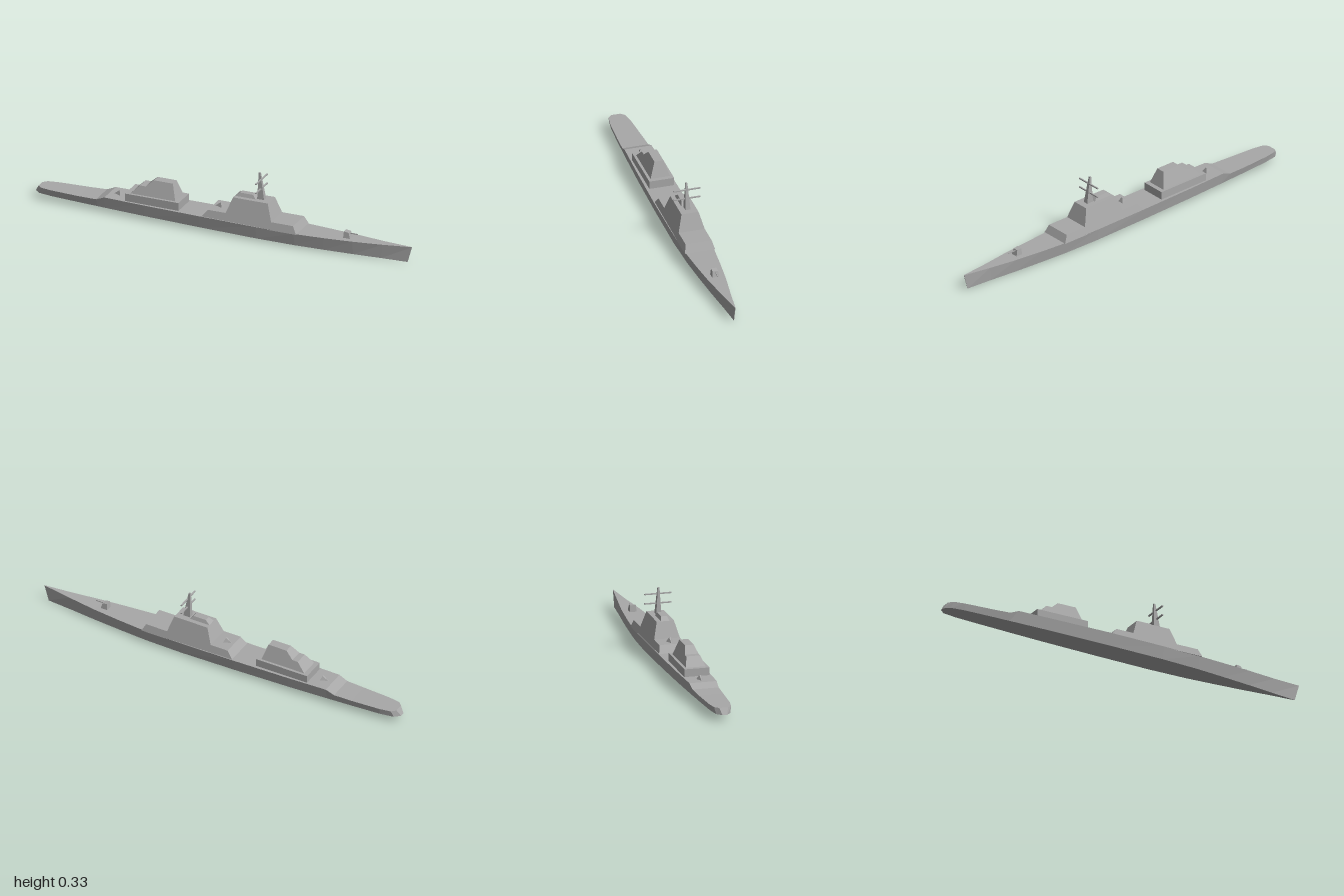
import * as THREE from 'three';

const gray = new THREE.MeshStandardMaterial({ color: 0xa8a8a8, flatShading: true });
gray.name = 'navy gray';

// Lofts four-cornered sections along x.
// Each station is [topX, bottomY, topY, bottomHalfWidth, topHalfWidth, bottomX = topX].
function loft(name, stations) {
  const pos = [], index = [];
  for (const [x, y0, y1, w0, w1, xb = x] of stations) {
    pos.push(xb, y0, -w0, xb, y0, w0, x, y1, w1, x, y1, -w1);
  }
  for (let i = 0; i < stations.length - 1; i++) {
    for (let j = 0; j < 4; j++) {
      const k = (j + 1) % 4;
      const a = i * 4 + j, b = i * 4 + k, c = b + 4, d = a + 4;
      index.push(a, d, c, a, c, b);
    }
  }
  const e = (stations.length - 1) * 4;
  index.push(0, 1, 2, 0, 2, 3, e, e + 2, e + 1, e, e + 3, e + 2);
  const indexed = new THREE.BufferGeometry();
  indexed.setAttribute('position', new THREE.Float32BufferAttribute(pos, 3));
  indexed.setIndex(index);
  const geometry = indexed.toNonIndexed();
  geometry.computeVertexNormals();
  const mesh = new THREE.Mesh(geometry, gray);
  mesh.name = name;
  return mesh;
}

// A side profile [x, y] whose sides lean inward with height.
function leaningBlock(name, baseY, baseHalf, lean, profile) {
  return loft(name, profile.map(([x, y]) =>
    [x, baseY, y, baseHalf, baseHalf - (y - baseY) * lean]));
}

function box(name, w, h, d, x, y, z) {
  const mesh = new THREE.Mesh(new THREE.BoxGeometry(w, h, d), gray);
  mesh.name = name;
  mesh.position.set(x, y, z);
  return mesh;
}

export function createModel() {
  const ship = new THREE.Group();
  ship.name = 'warship';

  // Hull: keel rises evenly from bow to stern
  const keel = x => 0.0185 - x * 0.0165;
  const hullRows = [
    // topX, topY, topHalf, bottomHalf, bottomX
    [-0.98, 0.067, 0.022, 0.012, -1],
    [-0.96, 0.067, 0.043, 0.036, -0.972],
    [-0.9, 0.067, 0.053, 0.046],
    [-0.75, 0.067, 0.062, 0.053],
    [-0.655, 0.069, 0.066, 0.056],
    [-0.61, 0.088, 0.069, 0.058],
    [-0.4, 0.086, 0.075, 0.064],
    [-0.1, 0.084, 0.08, 0.068],
    [0.2, 0.08, 0.079, 0.068],
    [0.4, 0.077, 0.073, 0.06],
    [0.55, 0.077, 0.06, 0.047],
    [0.7, 0.078, 0.044, 0.032],
    [0.85, 0.08, 0.022, 0.015, 0.84],
    [1, 0.085, 0.001, 0.001, 0.976],
  ];
  ship.add(loft('hull', hullRows.map(([x, y, w1, w0, xb = x]) =>
    [x, keel(xb), y, w0, w1, xb])));

  // Forward superstructure, nearly full beam
  ship.add(leaningBlock('bridge', 0.076, 0.077, 0.27, [
    [-0.095, 0.078], [-0.06, 0.12], [0.035, 0.12], [0.065, 0.2],
    [0.25, 0.2], [0.278, 0.115], [0.395, 0.115], [0.415, 0.076],
  ]));
  ship.add(leaningBlock('funnel', 0.199, 0.022, 0.4, [
    [0.065, 0.199], [0.09, 0.218], [0.16, 0.218], [0.175, 0.199],
  ]));

  // Mast with two crossed yards
  ship.add(leaningBlock('mast', 0.199, 0.013, 0.064, [
    [0.18, 0.199], [0.184, 0.337], [0.193, 0.337], [0.217, 0.199],
  ]));
  for (const y of [0.254, 0.302]) {
    ship.add(box('yard', 0.007, 0.006, 0.137, 0.197, y, 0));
  }

  // Aft superstructure: hangar with sloped deckhouse
  ship.add(box('hangar', 0.285, 0.047, 0.126, -0.36, 0.1025, 0));
  ship.add(leaningBlock('aftDeckhouse', 0.125, 0.05, 0.34, [
    [-0.48, 0.125], [-0.435, 0.17], [-0.405, 0.17],
    [-0.365, 0.205], [-0.265, 0.205], [-0.24, 0.125],
  ]));

  // Small wedge-shaped mounts pointing aft
  for (const [x, y] of [[-0.565, 0.085], [-0.025, 0.118]]) {
    ship.add(loft('aftMount', [
      [x - 0.025, y, y, 0.0005, 0.0005],
      [x + 0.008, y, y + 0.024, 0.014, 0.004],
      [x + 0.018, y, y, 0.018, 0.018],
    ]));
  }

  // Fore gun
  const gun = new THREE.Group();
  gun.name = 'foreGun';
  gun.add(loft('gunHouse', [
    [0.643, 0.075, 0.111, 0.018, 0.014, 0.64],
    [0.668, 0.075, 0.107, 0.018, 0.014, 0.677],
  ]));
  gun.add(box('gunBarrel', 0.045, 0.004, 0.004, 0.688, 0.101, 0));
  ship.add(gun);

  return ship;
}
